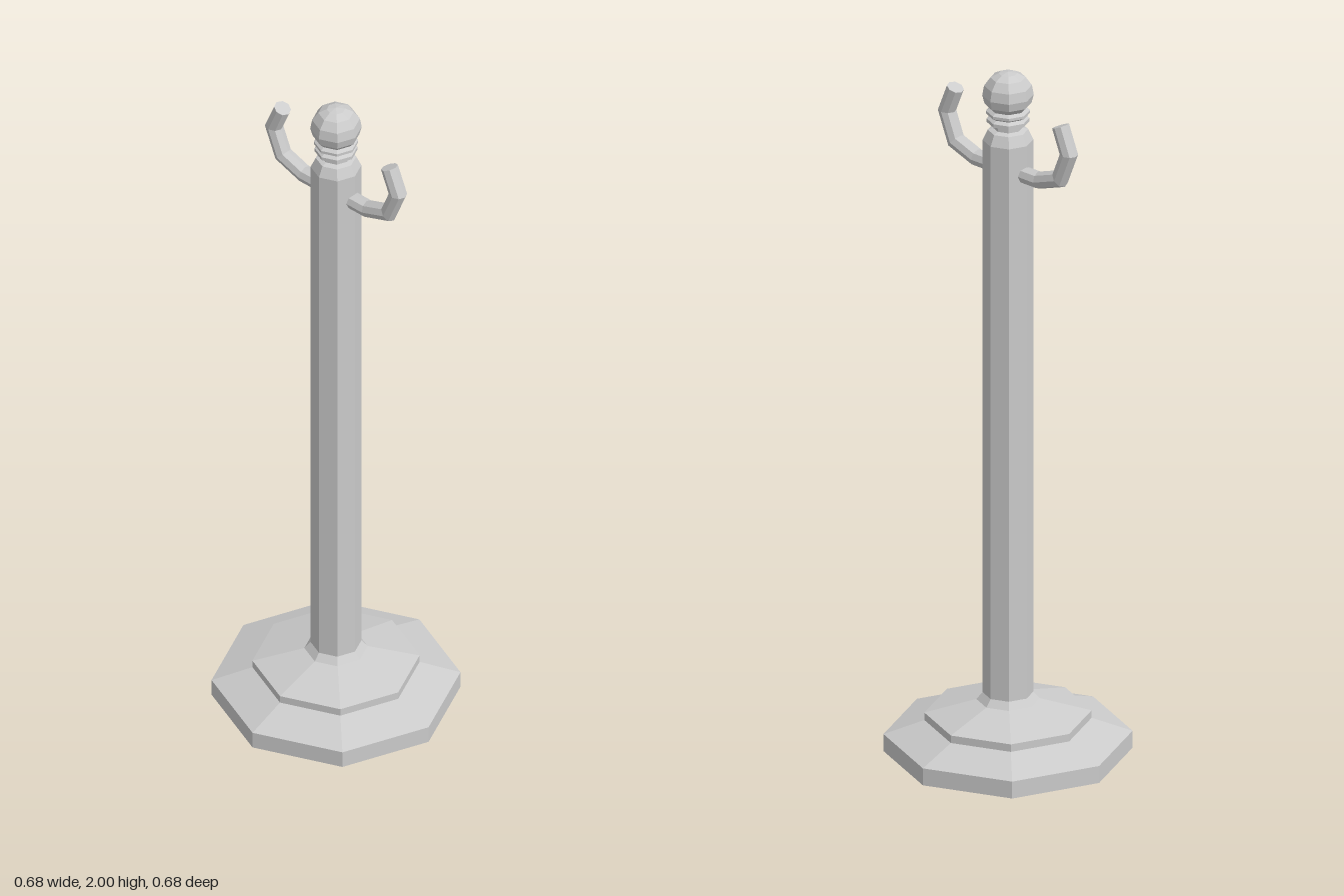
import * as THREE from 'three';

const material = new THREE.MeshStandardMaterial({ color: 0xcccccc, flatShading: true, side: THREE.DoubleSide });

// Eight-sided turned part from [radius, height] pairs, bottom to top
function turned(name, profile) {
  const points = profile.map(([r, y]) => new THREE.Vector2(r, y));
  const mesh = new THREE.Mesh(new THREE.LatheGeometry(points, 8), material);
  mesh.name = name;
  return mesh;
}

// Rod bent along a path in the xy plane, with mitred corners and closed ends
function bentRod(path, radius) {
  const pts = path.map(([x, y]) => new THREE.Vector2(x, y));
  const last = pts.length - 1;
  const dir = (i) => pts[i + 1].clone().sub(pts[i]).normalize();
  const rings = pts.map((p, i) => {
    const before = dir(Math.max(i - 1, 0));
    const after = dir(Math.min(i, last - 1));
    const t = before.clone().add(after).normalize();
    return { p, n: new THREE.Vector2(t.y, -t.x).divideScalar(t.dot(after)) };
  });
  const geometry = new THREE.CylinderGeometry(radius, radius, 1, 8, last);
  const pos = geometry.attributes.position;
  for (let k = 0; k < pos.count; k++) {
    const { p, n } = rings[Math.round((pos.getY(k) + 0.5) * last)];
    const side = pos.getX(k);
    pos.setXY(k, p.x + n.x * side, p.y + n.y * side);
  }
  geometry.computeVertexNormals();
  return geometry;
}

export function createModel() {
  const model = new THREE.Group();
  model.name = 'coatStand';

  // Stepped foot, hollow and open underneath
  model.add(turned('base', [
    [0.338, 0], [0.338, 0.05], [0.227, 0.09], [0.227, 0.112], [0.086, 0.15], [0.069, 0.17],
  ]));

  // Post with a bevelled top
  model.add(turned('post', [
    [0.069, 0.17], [0.069, 1.8], [0.055, 1.83], [0.04, 1.835],
  ]));

  // Ringed neck and ball
  model.add(turned('finial', [
    [0.04, 1.835], [0.04, 1.847], [0.058, 1.853], [0.058, 1.863], [0.047, 1.87],
    [0.06, 1.878], [0.06, 1.886], [0.05, 1.893], [0.064, 1.908], [0.07, 1.932],
    [0.065, 1.96], [0.048, 1.984], [0.025, 1.996], [0, 2],
  ]));

  // Opposite pair of upturned hooks
  const hook = bentRod([[0.04, 1.714], [0.116, 1.714], [0.193, 1.741], [0.226, 1.822], [0.195, 1.897]], 0.024);
  ['leftHook', 'rightHook'].forEach((name, i) => {
    const mesh = new THREE.Mesh(hook, material);
    mesh.name = name;
    mesh.rotation.y = i * Math.PI;
    model.add(mesh);
  });

  return model;
}
